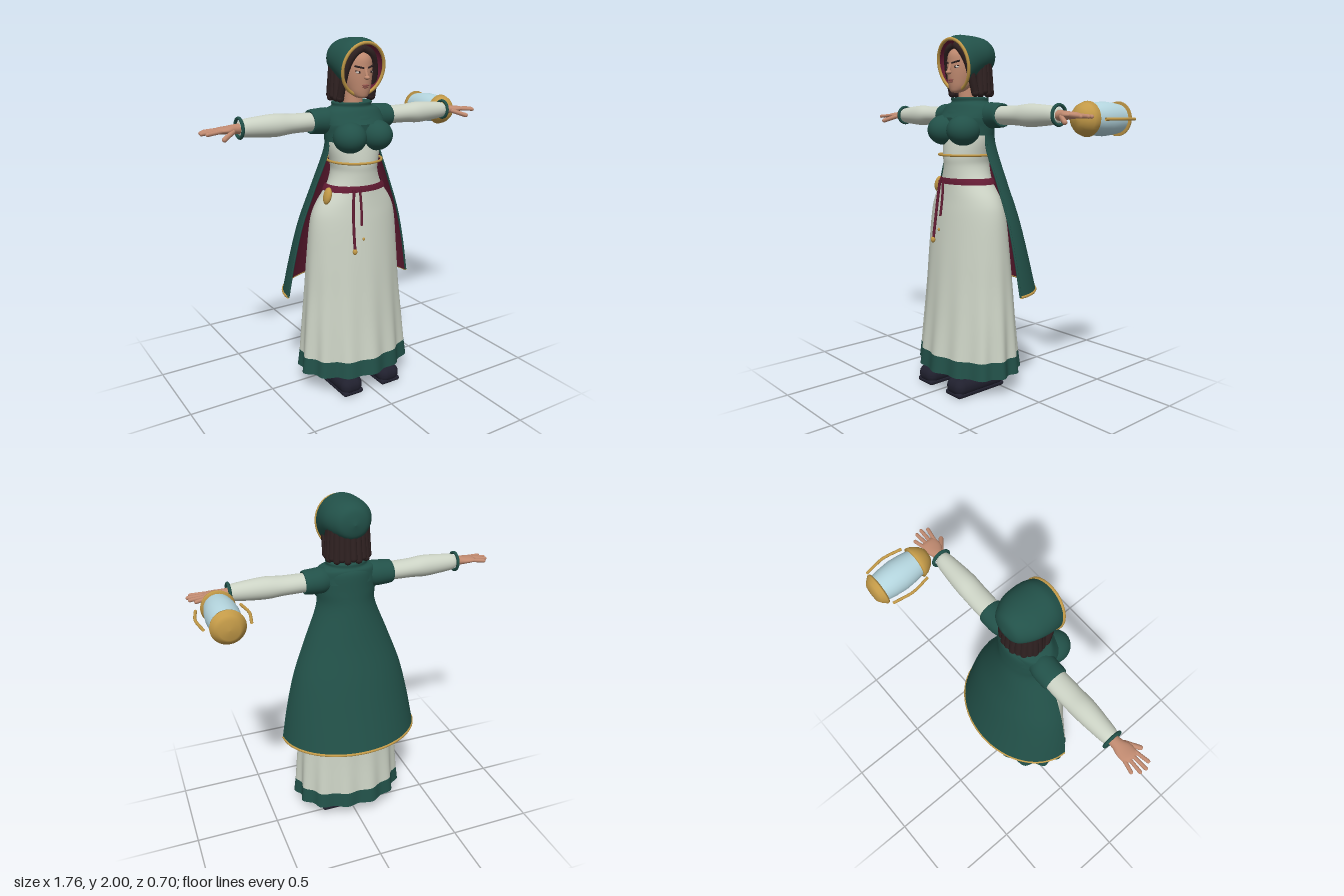
import * as THREE from 'three';
import { mergeVertices } from 'three/addons/utils/BufferGeometryUtils.js';
import { RoundedBoxGeometry } from 'three/addons/geometries/RoundedBoxGeometry.js';

const mat = (name, color, side = THREE.FrontSide) => {
  const m = new THREE.MeshStandardMaterial({ color, side });
  m.name = name;
  return m;
};
const V = (x, y, z) => new THREE.Vector3(x, y, z);

// Smooth interpolation through table rows, t in 0..1
function sample(rows, t) {
  const n = rows.length - 1, f = t * n, i = Math.min(Math.floor(f), n - 1), k = f - i;
  const a = rows[Math.max(i - 1, 0)], b = rows[i], c = rows[i + 1], d = rows[Math.min(i + 2, n)];
  return b.map((p, j) => {
    const m0 = (c[j] - a[j]) / 2, m1 = (d[j] - p) / 2;
    return (2 * k ** 3 - 3 * k * k + 1) * p + (k ** 3 - 2 * k * k + k) * m0
      + (3 * k * k - 2 * k ** 3) * c[j] + (k ** 3 - k * k) * m1;
  });
}

// Surface from f(u, v), smooth across seams
function grid(f, nu, nv, inside = false) {
  const pos = [], idx = [];
  for (let j = 0; j <= nv; j++) for (let i = 0; i <= nu; i++) pos.push(...f(i / nu, j / nv));
  for (let j = 0; j < nv; j++) for (let i = 0; i < nu; i++) {
    const a = j * (nu + 1) + i, b = a + 1, c = a + nu + 1, d = c + 1;
    if (inside) idx.push(a, d, b, a, c, d);
    else idx.push(a, b, d, a, d, c);
  }
  let g = new THREE.BufferGeometry();
  g.setAttribute('position', new THREE.Float32BufferAttribute(pos, 3));
  g.setIndex(idx);
  g = mergeVertices(g, 1e-5);
  g.computeVertexNormals();
  return g;
}

// Elliptical loft; rows are [y, rx, cz, rz], bottom to top
function loft(rows, { t0 = 0, t1 = Math.PI * 2, nu = 48, nv = 24, inside, scale = 1, warp } = {}) {
  return grid((u, v) => {
    const [y, rx, cz, rz] = sample(rows, v), t = t0 + (t1 - t0) * u;
    const p = { y, k: scale };
    if (warp) warp(p, t, v);
    return [rx * p.k * Math.sin(t), p.y, cz + rz * p.k * Math.cos(t)];
  }, nu, nv, inside);
}

export function createModel() {
  const D = THREE.DoubleSide;
  const green = mat('green cloth', 0x225149, D), cream = mat('cream cloth', 0xccd3c5, D);
  const gold = mat('gold', 0xc39a48, D), maroon = mat('maroon cloth', 0x641c34, D);
  const skin = mat('skin', 0xc08a70), hair = mat('dark brown hair', 0x2f2121);
  const boot = mat('dark boot leather', 0x20202e), glass = mat('pale blue glass', 0xb4d5de, D);
  const lip = mat('lip', 0x98584f), eyeWhite = mat('eye white', 0xd8d0c8);

  const model = new THREE.Group();
  model.name = 'cloakedWoman';
  const add = (name, geo, m, x = 0, y = 0, z = 0, parent = model) => {
    const mesh = new THREE.Mesh(geo, m);
    mesh.name = name;
    mesh.position.set(x, y, z);
    parent.add(mesh);
    return mesh;
  };
  const ball = (name, m, x, y, z, sx, sy, sz) =>
    add(name, new THREE.SphereGeometry(1, 28, 20).scale(sx, sy, sz), m, x, y, z);
  const capsule = (name, m, a, b, r) => {
    const mesh = add(name, new THREE.CapsuleGeometry(r, a.distanceTo(b), 6, 12), m);
    mesh.position.copy(a).lerp(b, 0.5);
    mesh.quaternion.setFromUnitVectors(V(0, 1, 0), b.clone().sub(a).normalize());
    return mesh;
  };
  const tube = (name, m, pts, r, closed = false, parent = model) =>
    add(name, new THREE.TubeGeometry(new THREE.CatmullRomCurve3(pts, closed), 64, r, 8, closed), m, 0, 0, 0, parent);
  const ellipse = (n, f) => Array.from({ length: n }, (_, i) => f(i / n * Math.PI * 2));

  // Gown with folds deepening toward the hem
  const folds = (p, t) => {
    const d = Math.max(0, (1.05 - p.y) / 0.93);
    p.k *= 1 + d * d * (0.04 * Math.cos(13 * t) + 0.015 * Math.cos(5 * t + 1));
  };
  const hem = [[0.115, 0.338, 0.085, 0.25], [0.21, 0.328, 0.085, 0.24]];
  add('gown', loft([hem[1], [0.4, 0.315, 0.083, 0.222], [0.6, 0.298, 0.08, 0.207], [0.8, 0.285, 0.082, 0.187],
    [1.0, 0.267, 0.085, 0.163], [1.1, 0.235, 0.09, 0.145], [1.2, 0.165, 0.095, 0.13], [1.28, 0.135, 0.095, 0.128],
    [1.34, 0.14, 0.095, 0.13], [1.44, 0.16, 0.09, 0.118], [1.55, 0.155, 0.08, 0.1]], { nu: 156, nv: 60, warp: folds }), cream);
  add('hemBand', loft(hem, { nu: 156, nv: 4, warp: folds }), green);
  add('hemLining', loft(hem, { nu: 156, nv: 4, warp: folds, scale: 0.985, inside: true }), cream);

  // Bodice, raised at the front centre, with a short shoulder cape and collar
  add('bodice', loft([[1.455, 0.168, 0.085, 0.124], [1.5, 0.172, 0.085, 0.126], [1.55, 0.175, 0.085, 0.126],
    [1.6, 0.16, 0.08, 0.11]], {
    warp: (p, t, v) => { p.y += (1 - v) * 0.055 * Math.max(0, Math.cos(t)) ** 6; },
  }), green);
  add('shoulderCape', loft([[1.55, 0.18, 0.09, 0.137], [1.58, 0.178, 0.082, 0.122], [1.62, 0.16, 0.072, 0.108],
    [1.638, 0.118, 0.07, 0.095], [1.662, 0.113, 0.072, 0.093], [1.655, 0.05, 0.075, 0.05]]), green);
  for (const s of [1, -1]) ball('bust', green, s * 0.085, 1.482, 0.188, 0.09, 0.084, 0.097);
  tube('underbustCord', gold, ellipse(24, t => V(0.153 * Math.sin(t), 1.345, 0.098 + 0.153 * Math.cos(t))), 0.007, true);

  // Belt with hanging cords and pouch
  add('belt', loft([[1.183, 0.188, 0.095, 0.139], [1.2, 0.179, 0.095, 0.138], [1.217, 0.165, 0.095, 0.135]], { nv: 6 }), maroon);
  tube('longBeltCord', maroon, [V(-0.08, 1.2, 0.225), V(-0.09, 1.1, 0.234), V(-0.095, 0.98, 0.248), V(-0.097, 0.87, 0.263)], 0.008);
  tube('shortBeltCord', maroon, [V(-0.045, 1.2, 0.23), V(-0.042, 1.1, 0.24), V(-0.045, 1.0, 0.252)], 0.007);
  ball('cordTip', gold, -0.098, 0.86, 0.265, 0.013, 0.018, 0.013);
  ball('cordBead', gold, -0.042, 0.925, 0.266, 0.007, 0.01, 0.006);
  ball('pouch', gold, -0.198, 1.165, 0.14, 0.02, 0.048, 0.03).rotation.z = -0.25;

  // Cape, green outside and maroon inside
  const capeRows = [[0.585, 0.415, 0.06, 0.325], [0.8, 0.375, 0.068, 0.278], [1.0, 0.325, 0.075, 0.235],
    [1.2, 0.25, 0.085, 0.192], [1.4, 0.172, 0.095, 0.16], [1.5, 0.165, 0.085, 0.138], [1.6, 0.15, 0.07, 0.115],
    [1.635, 0.11, 0.06, 0.085]];
  const half = { t0: Math.PI / 2, t1: Math.PI * 1.5, nv: 40 };
  add('capeOuter', loft(capeRows, half), green);
  add('capeLining', loft(capeRows, { ...half, scale: 0.975, inside: true }), maroon);
  const hemArc = Array.from({ length: 21 }, (_, i) => {
    const t = Math.PI * (0.5 + i / 20);
    return V(0.413 * Math.sin(t), 0.585, 0.06 + 0.323 * Math.cos(t));
  });
  tube('capeHemTrim', gold, hemArc, 0.008);
  for (const s of [1, -1])
    tube('capeEdge', green, capeRows.slice(0, 6).map(([y, w, z]) => V(s * (w - 0.004), y, z)), 0.006);

  // Arms, sleeves, hands and boots
  for (const s of [1, -1]) {
    const along = (name, rows, m) => {
      add(name, loft(rows, { nu: 28 }), m, 0, 1.563, 0).rotation.z = -s * Math.PI / 2;
    };
    along('shortSleeve', [[0.1, 0.06, 0.06, 0.06], [0.15, 0.071, 0.055, 0.072], [0.2, 0.069, 0.052, 0.073],
      [0.252, 0.064, 0.052, 0.071], [0.254, 0.05, 0.052, 0.055]], green);
    along('sleeve', [[0.2, 0.05, 0.052, 0.06], [0.3, 0.051, 0.052, 0.063], [0.38, 0.053, 0.053, 0.063],
      [0.46, 0.06, 0.055, 0.063], [0.56, 0.054, 0.055, 0.055], [0.65, 0.043, 0.055, 0.043], [0.665, 0.02, 0.055, 0.02]], cream);
    along('palm', [[0.64, 0.028, 0.055, 0.03], [0.69, 0.025, 0.057, 0.032], [0.73, 0.02, 0.06, 0.045],
      [0.775, 0.015, 0.06, 0.045], [0.795, 0.004, 0.06, 0.035]], skin);
    const band = add('bracelet', new THREE.TorusGeometry(0.05, 0.009, 10, 36), green, s * 0.66, 1.565, 0.052);
    band.rotation.y = Math.PI / 2;
    for (let i = 0; i < 4; i++) {
      const reach = [0.835, 0.862, 0.868, 0.85][i];
      capsule('finger', skin, V(s * 0.77, 1.563, 0.026 + i * 0.023), V(s * reach, 1.557, 0.012 + i * 0.033), 0.01);
    }
    capsule('thumb', skin, V(s * 0.71, 1.555, 0.09), V(s * 0.775, 1.53, 0.138), 0.013);

    add('bootFoot', new RoundedBoxGeometry(0.138, 0.1, 0.35, 5, 0.048), boot, s * 0.13, 0.052, 0.145);
    add('bootSole', new RoundedBoxGeometry(0.13, 0.03, 0.34, 3, 0.014), boot, s * 0.13, 0.015, 0.145);
    capsule('bootShaft', boot, V(s * 0.13, 0.07, 0.03), V(s * 0.125, 0.34, 0.05), 0.055);
  }

  // Head and face
  add('neck', new THREE.CylinderGeometry(0.048, 0.055, 0.12, 24), skin, 0, 1.69, 0.085);
  add('face', loft([[1.686, 0.005, 0.172, 0.005], [1.692, 0.032, 0.165, 0.032], [1.715, 0.055, 0.145, 0.06],
    [1.75, 0.07, 0.125, 0.085], [1.8, 0.083, 0.11, 0.103], [1.85, 0.088, 0.1, 0.112], [1.9, 0.084, 0.09, 0.113],
    [1.94, 0.06, 0.08, 0.08], [1.955, 0.005, 0.08, 0.005]], { nv: 40 }), skin);
  capsule('noseBridge', skin, V(0, 1.838, 0.207), V(0, 1.803, 0.22), 0.009);
  ball('noseTip', skin, 0, 1.796, 0.22, 0.014, 0.011, 0.019);
  ball('upperLip', lip, 0, 1.756, 0.208, 0.023, 0.006, 0.009);
  ball('lowerLip', lip, 0, 1.746, 0.207, 0.018, 0.006, 0.01);
  for (const s of [1, -1]) {
    ball('eye', eyeWhite, s * 0.036, 1.824, 0.194, 0.016, 0.007, 0.012);
    ball('iris', hair, s * 0.035, 1.824, 0.202, 0.007, 0.007, 0.006);
    capsule('upperLid', hair, V(s * 0.022, 1.83, 0.204), V(s * 0.052, 1.831, 0.192), 0.003);
    capsule('brow', hair, V(s * 0.016, 1.846, 0.21), V(s * 0.056, 1.856, 0.193), 0.005);
  }

  // Hair: cap, parted front locks and strands at the back
  ball('hairCap', hair, 0, 1.86, 0.085, 0.116, 0.118, 0.108);
  for (const s of [1, -1]) {
    tube('frontLock', hair, [V(s * 0.004, 1.945, 0.175), V(s * 0.05, 1.92, 0.178), V(s * 0.083, 1.86, 0.16),
      V(s * 0.096, 1.78, 0.14), V(s * 0.1, 1.685, 0.115)], 0.022);
    ball('lockTip', hair, s * 0.1, 1.685, 0.115, 0.022, 0.022, 0.022);
  }
  for (let i = 0; i < 15; i++) {
    const t = (i / 14 - 0.5) * 3.9, x = Math.sin(t), z = -Math.cos(t);
    capsule('hairStrand', hair, V(0.1 * x, 1.86, 0.05 + 0.075 * z),
      V(0.112 * x, 1.685 + 0.012 * (i % 2), 0.05 + 0.09 * z), 0.021);
  }

  // Hood; rows are [z, centre y, rx, ry, tilt] from opening to back
  const hoodRows = [[0.188, 1.838, 0.13, 0.138, 0.026], [0.15, 1.862, 0.137, 0.136, 0.018], [0.1, 1.878, 0.139, 0.122, 0.01],
    [0.04, 1.888, 0.132, 0.108, 0], [-0.015, 1.888, 0.108, 0.097, 0], [-0.055, 1.886, 0.072, 0.07, 0], [-0.073, 1.885, 0.001, 0.001, 0]];
  const hood = k => (u, v) => {
    const [z, cy, rx, ry, tilt] = sample(hoodRows, v), t = u * Math.PI * 2;
    return [rx * k * Math.sin(t), cy + ry * k * Math.cos(t), z + tilt * Math.cos(t)];
  };
  add('hood', grid(hood(1), 48, 28), green);
  add('hoodLining', grid((u, v) => hood(0.97)(u, v * 0.6), 48, 16, true), maroon);
  tube('hoodTrim', gold, ellipse(28, t => V(...hood(0.99)(t / (Math.PI * 2), 0))), 0.009, true);

  // Lantern lying along z beside the left hand
  const lantern = new THREE.Group();
  lantern.name = 'lantern';
  lantern.position.set(0.74, 1.545, 0);
  lantern.rotation.x = -Math.PI / 2;
  model.add(lantern);
  const lathe = (name, m, pts) => add(name,
    new THREE.LatheGeometry(pts.map(p => new THREE.Vector2(...p)), 32), m, 0, 0, 0, lantern);
  lathe('lanternBase', gold, [[0, -0.018], [0.035, -0.014], [0.062, 0.008], [0.08, 0.035], [0.09, 0.066], [0.07, 0.07], [0, 0.07]]);
  lathe('lanternGlass', glass, [[0.074, 0.065], [0.083, 0.12], [0.088, 0.185], [0.083, 0.25], [0.074, 0.31]]);
  lathe('lanternCap', gold, [[0, 0.302], [0.088, 0.302], [0.09, 0.312], [0.07, 0.335], [0.052, 0.35], [0, 0.354]]);
  for (const s of [1, -1])
    tube('lanternBar', gold, [V(s * 0.114, 0.07, 0), V(s * 0.13, 0.15, 0), V(s * 0.133, 0.19, 0), V(s * 0.128, 0.23, 0),
      V(s * 0.116, 0.3, 0)], 0.008, false, lantern);

  return model;
}
